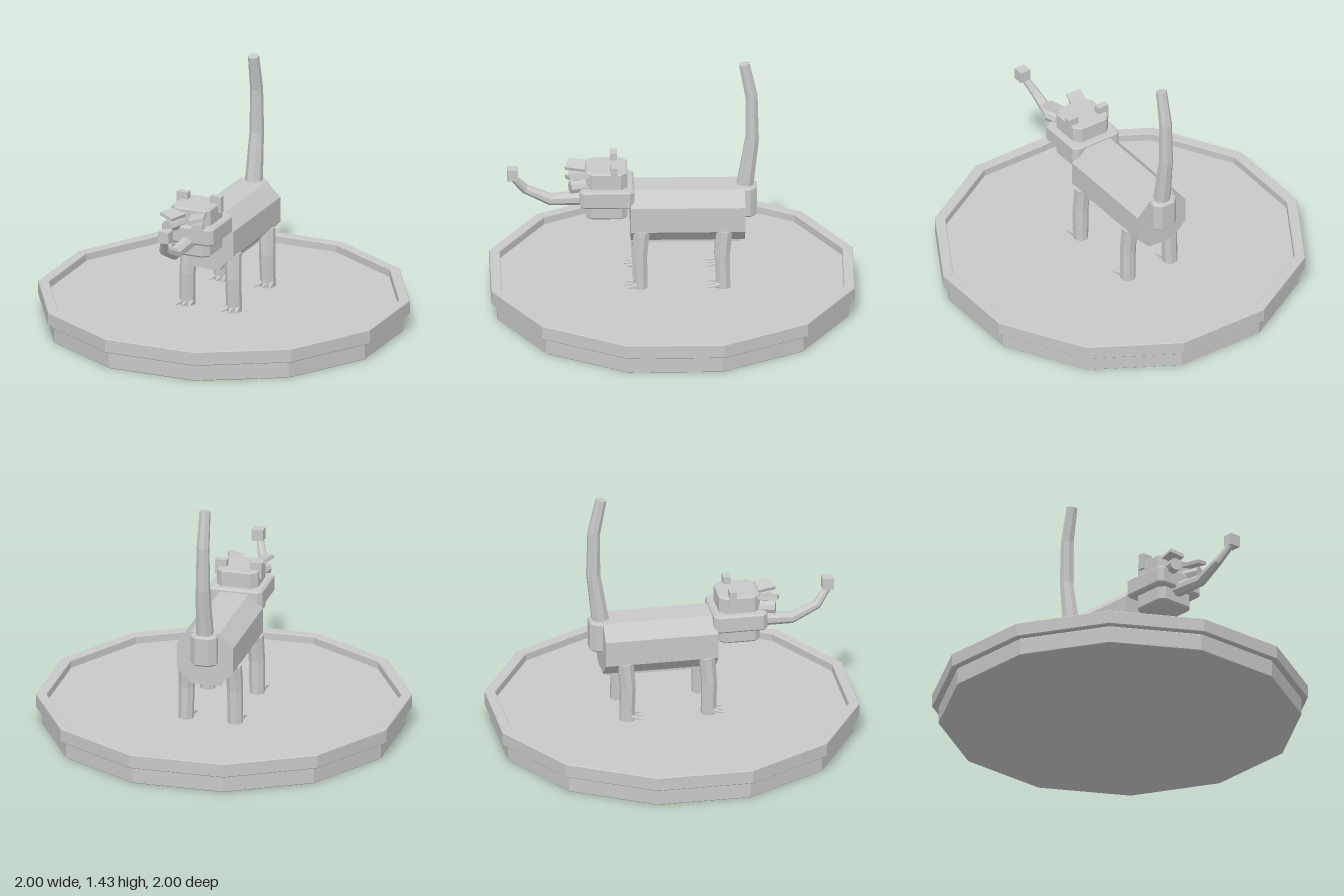
import * as THREE from 'three';

const stone = new THREE.MeshStandardMaterial({ color: 0xc8c8c8 });
stone.name = 'grey stone';

const FLOOR = 0.137;

export function createModel() {
  const model = new THREE.Group();
  model.name = 'catStatue';

  const add = (name, geometry, parent = model) => {
    const flat = geometry.index ? geometry.toNonIndexed() : geometry;
    flat.computeVertexNormals();
    const mesh = new THREE.Mesh(flat, stone);
    mesh.name = name;
    parent.add(mesh);
  };
  const box = (w, h, d, x, y, z) => new THREE.BoxGeometry(w, h, d).translate(x, y, z);

  // Twelve-sided outline with flats facing the axes
  const dodecagon = (apothem) => {
    const r = apothem / Math.cos(Math.PI / 12);
    return Array.from({ length: 12 }, (_, i) => {
      const a = (i + 0.5) * Math.PI / 6;
      return new THREE.Vector2(r * Math.cos(a), r * Math.sin(a));
    });
  };
  // Upright prism from a plan outline, with narrow bevelled edges
  const upright = (shape, y0, y1, bevel) =>
    new THREE.ExtrudeGeometry(shape, {
      depth: y1 - y0 - 2 * bevel, bevelEnabled: true, bevelSegments: 1,
      bevelThickness: bevel, bevelSize: bevel, bevelOffset: -bevel,
    }).rotateX(-Math.PI / 2).translate(0, y0 + bevel, 0);
  // Rectangle with cut corners
  const cutRect = (hx, hy, c) => new THREE.Shape([
    [hx - c, -hy], [hx, -hy + c], [hx, hy - c], [hx - c, hy],
    [-hx + c, hy], [-hx, hy - c], [-hx, -hy + c], [-hx + c, -hy],
  ].map((p) => new THREE.Vector2(...p)));

  // Faceted limb through points [x, y, z, radius], closed at both ends
  const limb = (points, sides = 8) => {
    const centres = points.map((p) => new THREE.Vector3(p[0], p[1], p[2]));
    const position = [], index = [];
    const last = points.length - 1;
    const side = new THREE.Vector3(1, 0, 0);
    centres.forEach((c, i) => {
      const t = centres[Math.min(i + 1, last)].clone().sub(centres[Math.max(i - 1, 0)]).normalize();
      const u = side.clone().addScaledVector(t, -side.dot(t)).normalize();
      const v = t.clone().cross(u);
      for (let k = 0; k < sides; k++) {
        const a = (k + 0.5) / sides * Math.PI * 2;
        const p = c.clone().addScaledVector(u, points[i][3] * Math.cos(a))
          .addScaledVector(v, points[i][3] * Math.sin(a));
        position.push(p.x, p.y, p.z);
      }
    });
    for (let i = 0; i < last; i++) for (let k = 0; k < sides; k++) {
      const a = i * sides + k, b = i * sides + (k + 1) % sides;
      index.push(a, b, b + sides, a, b + sides, a + sides);
    }
    for (let k = 1; k < sides - 1; k++) {
      index.push(0, k + 1, k);
      index.push(last * sides, last * sides + k, last * sides + k + 1);
    }
    const g = new THREE.BufferGeometry();
    g.setAttribute('position', new THREE.Float32BufferAttribute(position, 3));
    g.setIndex(index);
    return g;
  };

  // Plinth with sunken floor and raised rim
  add('plinth', upright(new THREE.Shape(dodecagon(0.967)), 0, 0.1, 0.004));
  add('floor', upright(new THREE.Shape(dodecagon(0.942)), 0.1, FLOOR, 0.002));
  const rim = new THREE.Shape(dodecagon(1));
  rim.holes.push(new THREE.Path(dodecagon(0.942)));
  add('rim', upright(rim, 0.1, 0.18, 0.004));

  // Torso, belly and rump
  add('body', new THREE.ExtrudeGeometry(cutRect(0.16, 0.152, 0.08), { depth: 0.63, bevelEnabled: false })
    .translate(0, 0.546, -0.4));
  add('belly', box(0.16, 0.04, 0.605, 0, 0.402, -0.0725));
  add('rump', upright(cutRect(0.075, 0.066, 0.035), 0.52, 0.695, 0.01).translate(0, 0, -0.4));
  add('tail', limb([
    [0, 0.68, -0.4, 0.05], [0, 0.97, -0.441, 0.04],
    [0, 1.22, -0.438, 0.036], [0, 1.42, -0.397, 0.031],
  ]));

  // Legs with three claws each
  for (const s of [1, -1]) for (const z of [0.17, -0.285]) {
    const leg = new THREE.Group();
    leg.name = (z > 0 ? 'front' : 'rear') + (s > 0 ? 'LeftLeg' : 'RightLeg');
    model.add(leg);
    add('limb', limb([
      [s * 0.132, 0.475, z, 0.047], [s * 0.138, 0.33, z + 0.012, 0.045], [s * 0.141, FLOOR, z + 0.007, 0.043],
    ]), leg);
    for (const k of [-1, 0, 1]) {
      const claw = new THREE.ConeGeometry(0.016, 0.075, 6).rotateX(Math.PI / 2 + 0.15)
        .translate(0, FLOOR + 0.017, 0.065).rotateY(k * 0.25)
        .translate(s * 0.14 + k * 0.022, 0, z);
      add('claw', claw, leg);
    }
  }

  // Head in three stacked blocks
  add('jaw', upright(cutRect(0.115, 0.115, 0.03), 0.533, 0.63, 0.01).translate(0, 0, 0.362));
  add('muzzle', upright(cutRect(0.155, 0.15, 0.025), 0.615, 0.716, 0.01).translate(0, 0, 0.36));
  add('crown', upright(cutRect(0.117, 0.115, 0.035), 0.7, 0.81, 0.008).translate(0, 0, 0.362));

  for (const s of [1, -1]) {
    const label = s > 0 ? 'left' : 'right';
    add(label + 'Ear', box(0.066, 0.09, 0.038, s * 0.1, 0.805, 0.32));
    // Eye stalk and slanted brow, splayed outward
    add(label + 'Eye', new THREE.CylinderGeometry(0.036, 0.036, 0.11, 8).rotateX(Math.PI / 2)
      .rotateY(s * 0.3).translate(s * 0.072, 0.72, 0.51));
    add(label + 'Brow', box(0.085, 0.02, 0.13, 0, 0, 0).rotateZ(s * 0.25)
      .rotateY(s * 0.3).translate(s * 0.072, 0.781, 0.515));
  }

  // Long curled tongue with a block at its tip
  add('tongue', limb([
    [0, 0.62, 0.46, 0.042], [0, 0.61, 0.67, 0.034],
    [0, 0.675, 0.81, 0.026], [0.038, 0.77, 0.885, 0.02],
  ]));
  add('tongueTip', box(0.064, 0.066, 0.06, 0.042, 0.785, 0.878));

  return model;
}
